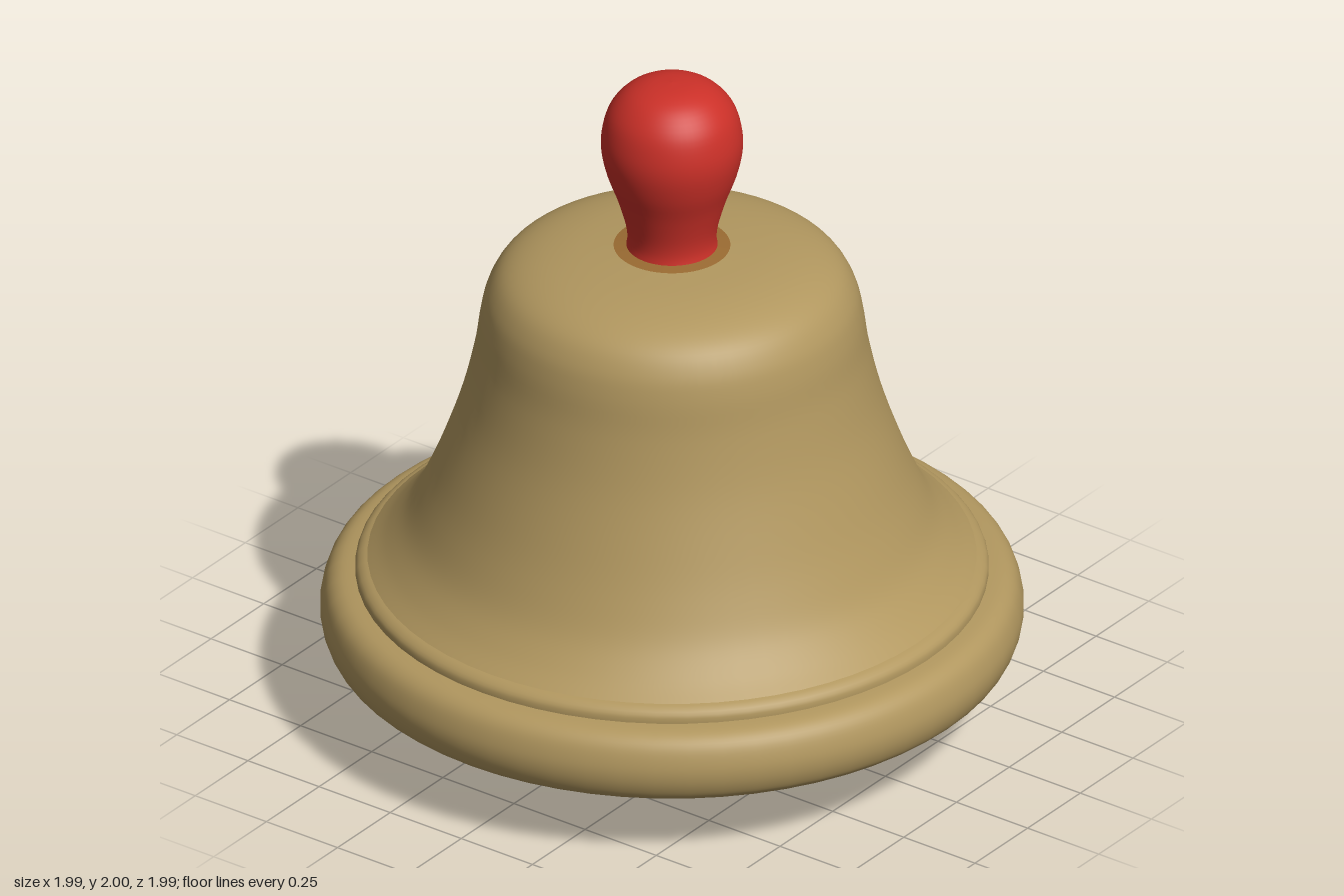
import * as THREE from 'three';

const material = (name, color) => {
  const m = new THREE.MeshStandardMaterial({ color });
  m.name = name;
  return m;
};

// Smooth revolved part from [radius, height] pairs, listed bottom to top
function turned(name, mat, pairs, steps) {
  let points = pairs.map(([r, y]) => new THREE.Vector2(r, y));
  if (steps) points = new THREE.SplineCurve(points).getPoints(steps);
  points.forEach((p) => { p.x = Math.max(p.x, 0); });
  const mesh = new THREE.Mesh(new THREE.LatheGeometry(points, 64), mat);
  mesh.name = name;
  return mesh;
}

export function createModel() {
  const brass = material('brass', 0xb1975f);
  const brown = material('dark brass', 0x9a6b32);
  const red = material('red handle', 0xcb3028);
  const darkRed = material('dark red clapper', 0x480e11);

  const bell = new THREE.Group();
  bell.name = 'handBell';

  bell.add(
    // Flat underside closing the mouth
    turned('underside', brown, [[0, 0.212], [0.95, 0.212]]),
    // Rounded lip
    turned('lip', brass, [
      [0.95, 0.212], [0.975, 0.235], [0.992, 0.28], [0.993, 0.33],
      [0.975, 0.385], [0.94, 0.415], [0.885, 0.425],
    ], 28),
    // Small stepped bead above the lip
    turned('bead', brass, [[0.895, 0.42], [0.893, 0.445], [0.875, 0.463], [0.85, 0.472]], 8),
    // Flared body and domed shoulder
    turned('body', brass, [
      [0.865, 0.465], [0.81, 0.515], [0.75, 0.59], [0.7, 0.69], [0.652, 0.81],
      [0.595, 0.98], [0.558, 1.14], [0.54, 1.26], [0.518, 1.335], [0.475, 1.395],
      [0.4, 1.435], [0.29, 1.46], [0.145, 1.473],
    ], 60),
    // Stained ring at the foot of the handle
    turned('handleRing', brown, [[0.165, 1.473], [0.12, 1.478]]),
    // Pear-shaped grip
    turned('handle', red, [
      [0.132, 1.465], [0.126, 1.5], [0.132, 1.55], [0.155, 1.63], [0.184, 1.71],
      [0.2, 1.785], [0.197, 1.85], [0.176, 1.915], [0.13, 1.967], [0.07, 1.993], [0, 2],
    ], 40),
    // Clapper ball showing below the mouth
    turned('clapper', darkRed, [
      [0, 0], [0.07, 0.01], [0.135, 0.045], [0.178, 0.1], [0.198, 0.16], [0.206, 0.215],
    ], 24),
  );
  return bell;
}
